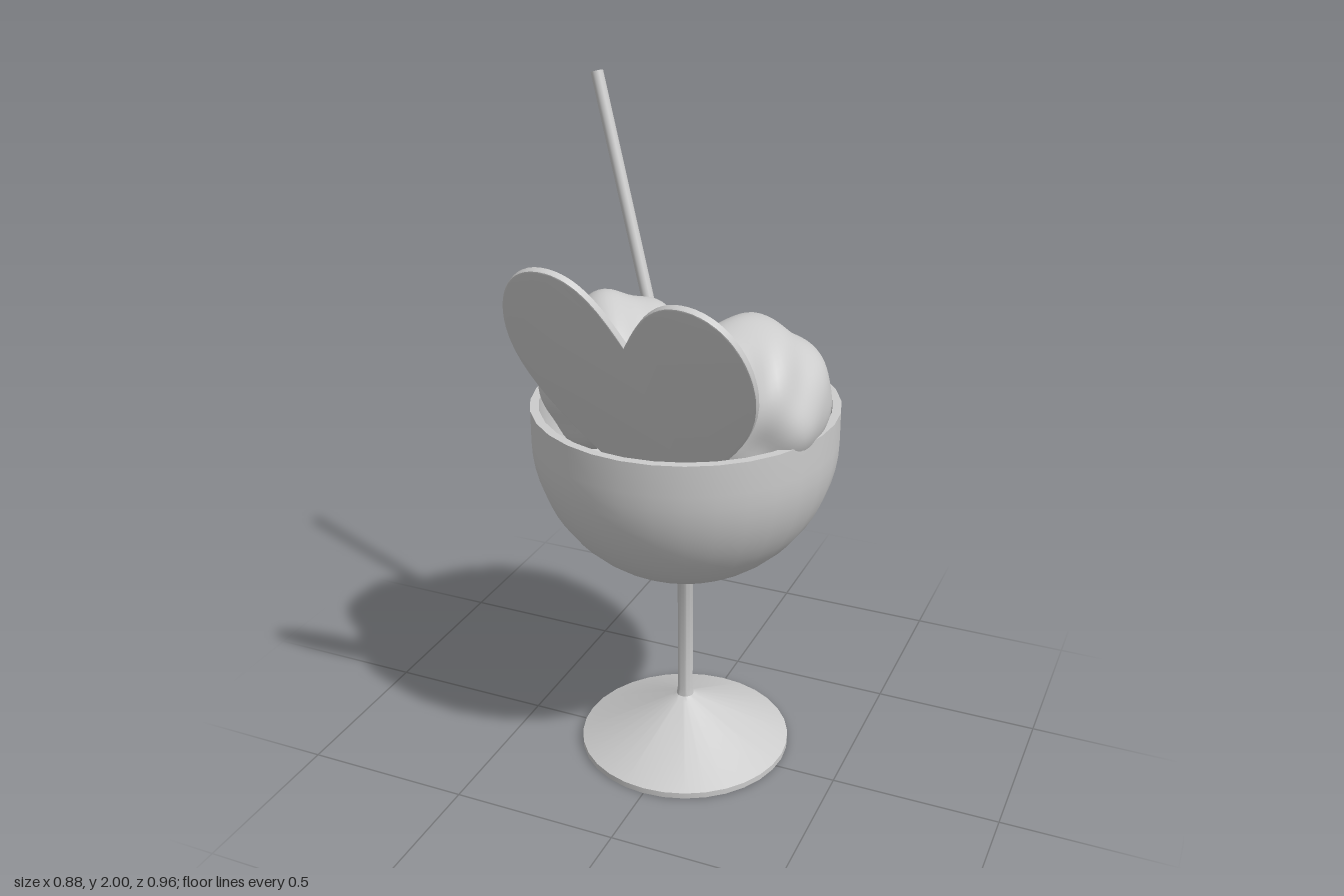
import * as THREE from 'three';
import { mergeVertices, toCreasedNormals } from 'three/addons/utils/BufferGeometryUtils.js';

const grey = new THREE.MeshStandardMaterial({ color: 0xcccccc });

function part(name, geometry) {
  const mesh = new THREE.Mesh(geometry, grey);
  mesh.name = name;
  return mesh;
}

// Points on a circular arc about (0, cy), angle measured from straight down
function arc(radius, cy, from, to, steps) {
  return Array.from({ length: steps + 1 }, (_, i) => {
    const a = from + (to - from) * i / steps;
    return new THREE.Vector2(radius * Math.sin(a), cy - radius * Math.cos(a));
  });
}

// Foot, stem and hollow bowl turned as one closed profile
function makeGlass() {
  const v = (x, y) => new THREE.Vector2(x, y);
  const profile = [
    v(0, 0), v(0.32, 0), v(0.32, 0.018), v(0.04, 0.15), v(0.026, 0.16), v(0.023, 0.18),
    v(0.023, 0.585), v(0.03, 0.6), v(0.05, 0.609),
    ...arc(0.44, 1.05, 0.22, Math.PI / 2, 14),
    v(0.44, 1.14), v(0.415, 1.14),
    ...arc(0.415, 1.05, Math.PI / 2, 0, 14),
  ];
  const glass = part('glass', toCreasedNormals(new THREE.LatheGeometry(profile, 32), 0.6));
  glass.position.z = -0.04;
  return glass;
}

// Lumpy ball: a sphere pushed in and out by smooth waves
function makeScoop(name, radius, center, phase) {
  let geometry = new THREE.IcosahedronGeometry(1, 14);
  geometry.deleteAttribute('normal');
  geometry.deleteAttribute('uv');
  geometry = mergeVertices(geometry, 1e-4);
  const pos = geometry.attributes.position;
  const p = new THREE.Vector3();
  for (let i = 0; i < pos.count; i++) {
    p.fromBufferAttribute(pos, i);
    const lumps =
      Math.sin(4.3 * p.x + 2.1 * p.y + phase) * Math.sin(4.6 * p.z - 1.7 * p.x + 2 * phase) * 0.05 +
      Math.sin(6.1 * p.y + 3.2 * p.z + 3 * phase) * Math.cos(5.7 * p.x - 2.3 * p.z + phase) * 0.04;
    p.multiplyScalar(radius * (1 + lumps));
    pos.setXYZ(i, p.x, p.y, p.z);
  }
  geometry.computeVertexNormals();
  const scoop = part(name, geometry);
  scoop.position.set(...center);
  return scoop;
}

// Heart-shaped biscuit, origin at the notch, leaning forward out of the bowl
function makeWafer() {
  const heart = new THREE.Shape();
  heart.moveTo(0, 0);
  heart.bezierCurveTo(0.05, 0.1, 0.1, 0.19, 0.195, 0.19);
  heart.bezierCurveTo(0.3, 0.19, 0.365, 0.08, 0.365, -0.05);
  heart.bezierCurveTo(0.365, -0.24, 0.2, -0.4, 0, -0.6);
  heart.bezierCurveTo(-0.2, -0.4, -0.365, -0.24, -0.365, -0.05);
  heart.bezierCurveTo(-0.365, 0.08, -0.3, 0.19, -0.195, 0.19);
  heart.bezierCurveTo(-0.1, 0.19, -0.05, 0.1, 0, 0);
  const geometry = new THREE.ExtrudeGeometry(heart, {
    depth: 0.012, curveSegments: 14,
    bevelThickness: 0.004, bevelSize: 0.004, bevelOffset: -0.004, bevelSegments: 2,
  });
  geometry.translate(0, 0, -0.006);
  const wafer = part('heartWafer', toCreasedNormals(geometry, 0.7));
  wafer.position.set(0.01, 1.45, 0.375);
  wafer.rotation.set(0.41, -0.12, -0.1, 'YXZ');
  return wafer;
}

// Straight straw leaning back and to one side
function makeStraw() {
  const top = new THREE.Vector3(-0.364, 1.994, -0.26);
  const bottom = new THREE.Vector3(-0.07, 1.1, -0.098);
  const axis = top.clone().sub(bottom);
  const straw = part('straw', new THREE.CylinderGeometry(0.018, 0.018, axis.length(), 16));
  straw.position.copy(top).add(bottom).multiplyScalar(0.5);
  straw.quaternion.setFromUnitVectors(new THREE.Vector3(0, 1, 0), axis.normalize());
  return straw;
}

export function createModel() {
  const model = new THREE.Group();
  model.name = 'iceCreamSundae';
  model.add(
    makeGlass(),
    makeScoop('rightScoop', 0.225, [-0.205, 1.2, -0.02], 0.6),
    makeScoop('leftScoop', 0.23, [0.205, 1.2, 0.02], 2.3),
    makeScoop('backScoop', 0.215, [0.03, 1.06, -0.225], 4.1),
    makeWafer(),
    makeStraw(),
  );
  return model;
}
